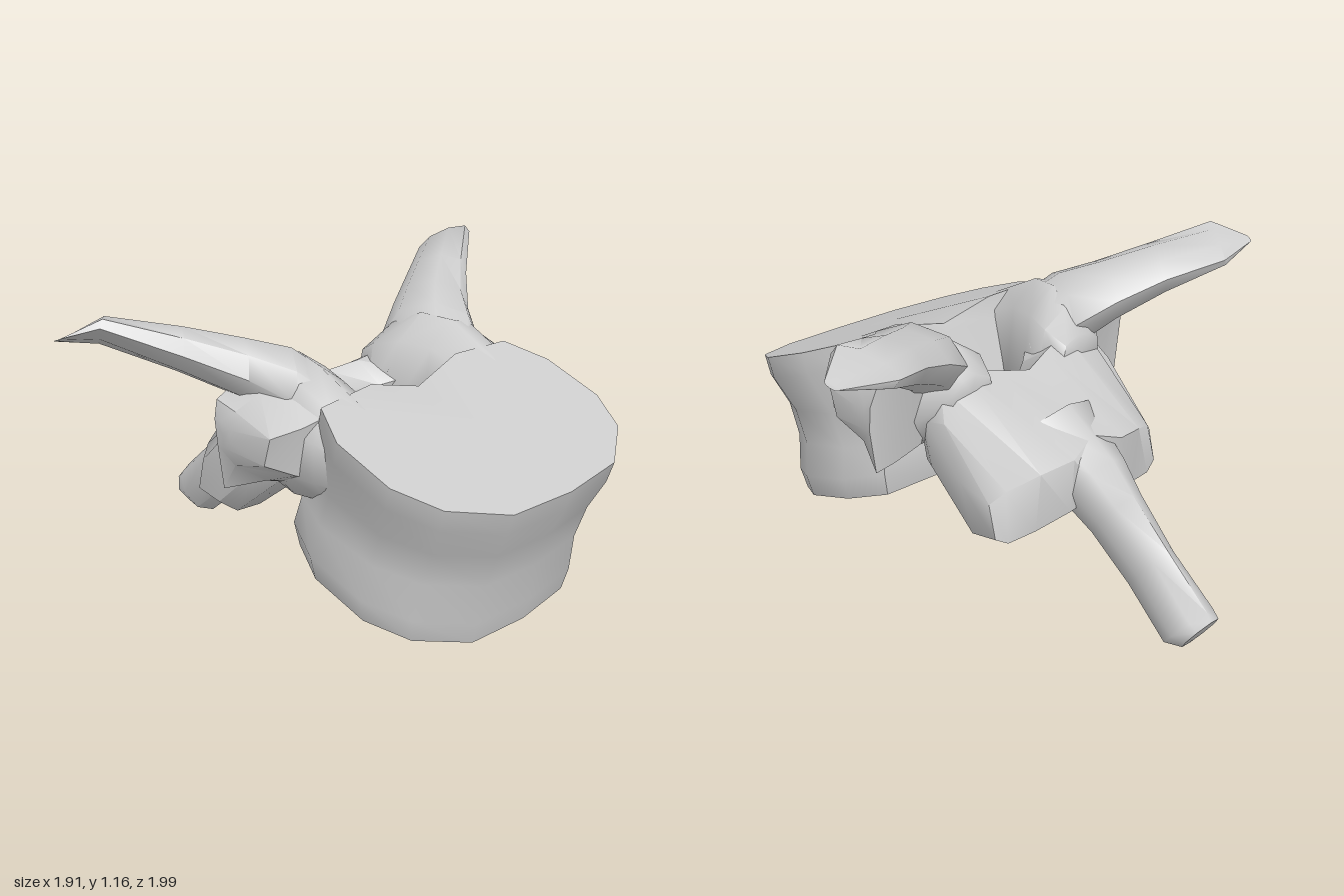
import * as THREE from 'three';
import { toCreasedNormals } from 'three/addons/utils/BufferGeometryUtils.js';

const V = (x, y, z) => new THREE.Vector3(x, y, z);
const material = new THREE.MeshStandardMaterial({ color: 0xcccccc });

// Skin a list of equal-length point rings, cap both ends, face outward
function loft(rings, crease) {
  const n = rings[0].length, tris = [];
  for (let r = 0; r < rings.length - 1; r++) {
    for (let i = 0; i < n; i++) {
      const j = (i + 1) % n;
      const a = rings[r][i], b = rings[r][j], c = rings[r + 1][j], d = rings[r + 1][i];
      tris.push([a, b, c], [a, c, d]);
    }
  }
  const cap = (ring, flip) => {
    const mid = ring.reduce((s, p) => s.add(p), V(0, 0, 0)).divideScalar(n);
    ring.forEach((p, i) => {
      const q = ring[(i + 1) % n];
      tris.push(flip ? [q, p, mid] : [p, q, mid]);
    });
  };
  cap(rings[0], true);
  cap(rings[rings.length - 1], false);
  const volume = tris.reduce((s, [a, b, c]) => s + a.dot(b.clone().cross(c)), 0);
  if (volume < 0) tris.forEach((t) => t.reverse());
  const geometry = new THREE.BufferGeometry().setFromPoints(tris.flat());
  return toCreasedNormals(geometry, crease);
}

// Eight-sided ring around a centre with two half-axis vectors
function ring(c, u, v) {
  return Array.from({ length: 8 }, (_, i) => {
    const a = (i / 8) * Math.PI * 2;
    return c.clone().addScaledVector(u, Math.cos(a)).addScaledVector(v, Math.sin(a));
  });
}

export function createModel() {
  const model = new THREE.Group();
  const add = (name, rings, crease) => {
    const mesh = new THREE.Mesh(loft(rings, crease), material);
    mesh.name = name;
    model.add(mesh);
  };
  // Build a part on both sides; s is the sign of z
  const addPair = (name, make, crease) => {
    add(name + 'Front', make(1), crease);
    add(name + 'Back', make(-1), crease);
  };

  // Vertebral body: waisted drum with a flattened rear; [u along x, z fraction]
  const half = [[1, 0], [0.97, 0.5], [0.8, 0.85], [0.58, 1], [0.25, 1], [0.03, 0.86], [0, 0.4], [0.03, 0]];
  const outline = [...half, ...half.slice(1, -1).reverse().map(([u, z]) => [u, -z])];
  // rear x, front x, rear y, front y, half width
  const levels = [
    [0.15, 0.8, 0.35, 0.14, 0.49],
    [0.14, 0.82, 0.44, 0.22, 0.51],
    [0.16, 0.84, 0.54, 0.36, 0.485],
    [0.21, 0.88, 0.66, 0.48, 0.49],
    [0.28, 0.93, 0.82, 0.58, 0.535],
    [0.3, 0.953, 0.9, 0.655, 0.54],
  ];
  add('vertebralBody', levels.map(([x0, x1, y0, y1, w], k) => outline.map(([u, z]) => {
    const dip = k === 5 && u < 0.1 && z === 0 ? 0.05 : 0;
    return V(x0 + (x1 - x0) * u, y0 + (y1 - y0) * u - dip, z * w);
  })), 0.95);

  // Pedicles joining the body to the arch: [x, low y, high y, inner z, outer z]
  const pedicle = [
    [0.5, 0.6, 0.81, 0.22, 0.46],
    [0.32, 0.56, 0.9, 0.2, 0.5],
    [0.18, 0.55, 0.97, 0.19, 0.52],
    [0.06, 0.56, 0.98, 0.15, 0.5],
    [-0.04, 0.64, 0.93, 0.13, 0.43],
    [-0.12, 0.72, 0.85, 0.17, 0.36],
  ];
  addPair('pedicle', (s) => pedicle.map(([x, y0, y1, z0, z1]) => {
    const y = (y0 + y1) / 2, z = (z0 + z1) / 2, h = (y1 - y0) / 2, w = (z1 - z0) / 2;
    return [[-1, -0.6], [-0.5, -1], [0.6, -1], [1, -0.5], [1, 0.3], [0.5, 0.85], [-0.1, 1], [-0.8, 0.6]]
      .map(([a, b]) => V(x, y + b * h, s * (z + a * w)));
  }), 1.1);

  // Laminae and lower joint lobes: x,y sections at increasing z
  const arch = [
    [0, [[-0.05, 0.72], [-0.12, 0.79], [-0.42, 0.64], [-0.45, 0.43], [-0.25, 0.5], [-0.06, 0.6]]],
    [0.12, [[0.03, 0.74], [-0.08, 0.81], [-0.45, 0.6], [-0.44, 0.4], [-0.23, 0.37], [-0.01, 0.54]]],
    [0.25, [[0.13, 0.78], [-0.05, 0.84], [-0.42, 0.58], [-0.4, 0.36], [-0.22, 0.31], [0.02, 0.5]]],
    [0.36, [[0.08, 0.78], [-0.06, 0.82], [-0.37, 0.54], [-0.38, 0.35], [-0.22, 0.32], [0.02, 0.52]]],
    [0.41, [[-0.04, 0.7], [-0.13, 0.72], [-0.34, 0.5], [-0.37, 0.38], [-0.26, 0.36], [-0.06, 0.54]]],
  ];
  const section = (s) => ([z, pts]) => pts.map(([x, y]) => V(x, y, s * z));
  add('neuralArch', [...arch.slice(1).reverse().map(section(-1)), ...arch.map(section(1))], 1);

  // Transverse wings, swept back and up to an oblique pointed tip: centre, half width, half height
  const wing = [
    [[0.16, 0.78, 0.26], [0.13, 0, 0.1], 0.13],
    [[0.06, 0.87, 0.36], [0.15, 0, 0.1], 0.14],
    [[-0.04, 0.945, 0.48], [0.125, 0, 0.07], 0.105],
    [[-0.15, 1.02, 0.64], [0.1, 0.01, 0.06], 0.08],
    [[-0.28, 1.1, 0.84], [0.08, 0.035, 0.06], 0.05],
    [[-0.308, 1.093, 0.985], [0.008, 0.005, 0.012], 0.008],
  ];
  addPair('transverseWing', (s) => wing.map(([c, u, h]) =>
    ring(V(c[0], c[1], s * c[2]), V(u[0], u[1], s * u[2]), V(0.02, h, 0))), 1);

  // Rib facets: rough angular knobs on the outside of the pedicles
  const facet = [
    [0.4, [[-0.06, 0.86], [0.14, 0.94], [0.32, 0.86], [0.3, 0.62], [0.14, 0.56], [0, 0.6]]],
    [0.52, [[-0.05, 0.88], [0.1, 0.9], [0.29, 0.83], [0.26, 0.66], [0.12, 0.6], [0, 0.57]]],
    [0.6, [[-0.02, 0.87], [0.07, 0.85], [0.23, 0.8], [0.2, 0.7], [0.06, 0.66], [0, 0.56]]],
    [0.62, [[-0.01, 0.81], [0.02, 0.81], [0.06, 0.79], [0.06, 0.75], [0.03, 0.72], [0, 0.72]]],
  ];
  addPair('ribFacet', (s) => facet.map(section(s)), 0.7);

  // Rear spine, running down and back to a blunt end: centre, half depth, half width
  const spine = [
    [-0.25, 0.62, -0.06, 0.1, 0.17],
    [-0.44, 0.47, -0.075, 0.11, 0.12],
    [-0.54, 0.385, -0.07, 0.095, 0.095],
    [-0.7, 0.24, -0.07, 0.09, 0.075],
    [-0.87, 0.09, -0.07, 0.085, 0.09],
    [-0.92, 0.085, -0.04, 0.06, 0.08],
  ];
  add('rearSpine', spine.map(([x, y, ux, uy, w]) => ring(V(x, y, 0), V(ux, uy, 0), V(0, 0, w))), 1);

  return model;
}
